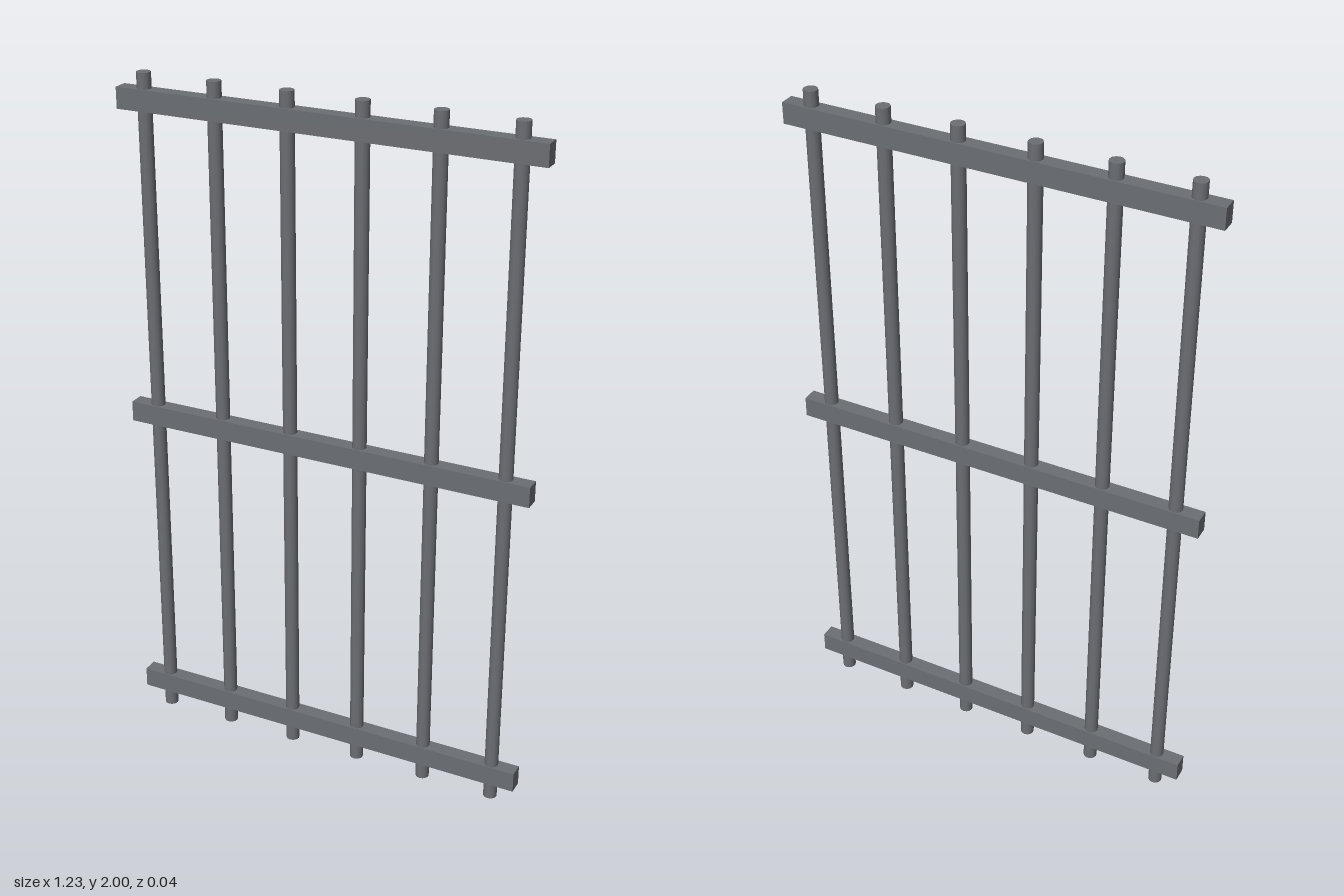
import * as THREE from 'three';

export function createModel() {
  const group = new THREE.Group();
  const iron = new THREE.MeshStandardMaterial({ color: 0x6b6e73 });
  iron.name = 'iron grey';

  function add(name, geometry, x, y) {
    const mesh = new THREE.Mesh(geometry, iron);
    mesh.name = name;
    mesh.position.set(x, y, 0);
    group.add(mesh);
  }

  // Six evenly spaced upright round bars
  const count = 6, spacing = 0.2155;
  const barGeometry = new THREE.CylinderGeometry(0.02, 0.02, 2, 12);
  for (let i = 0; i < count; i++) {
    add(`verticalBar${i + 1}`, barGeometry, (i - (count - 1) / 2) * spacing, 1);
  }

  // Three flat cross rails that the bars pass through
  const railGeometry = new THREE.BoxGeometry(1.23, 0.06, 0.044);
  const rails = { bottomRail: 0.08, middleRail: 1, topRail: 1.925 };
  for (const [name, y] of Object.entries(rails)) add(name, railGeometry, 0, y);

  return group;
}
